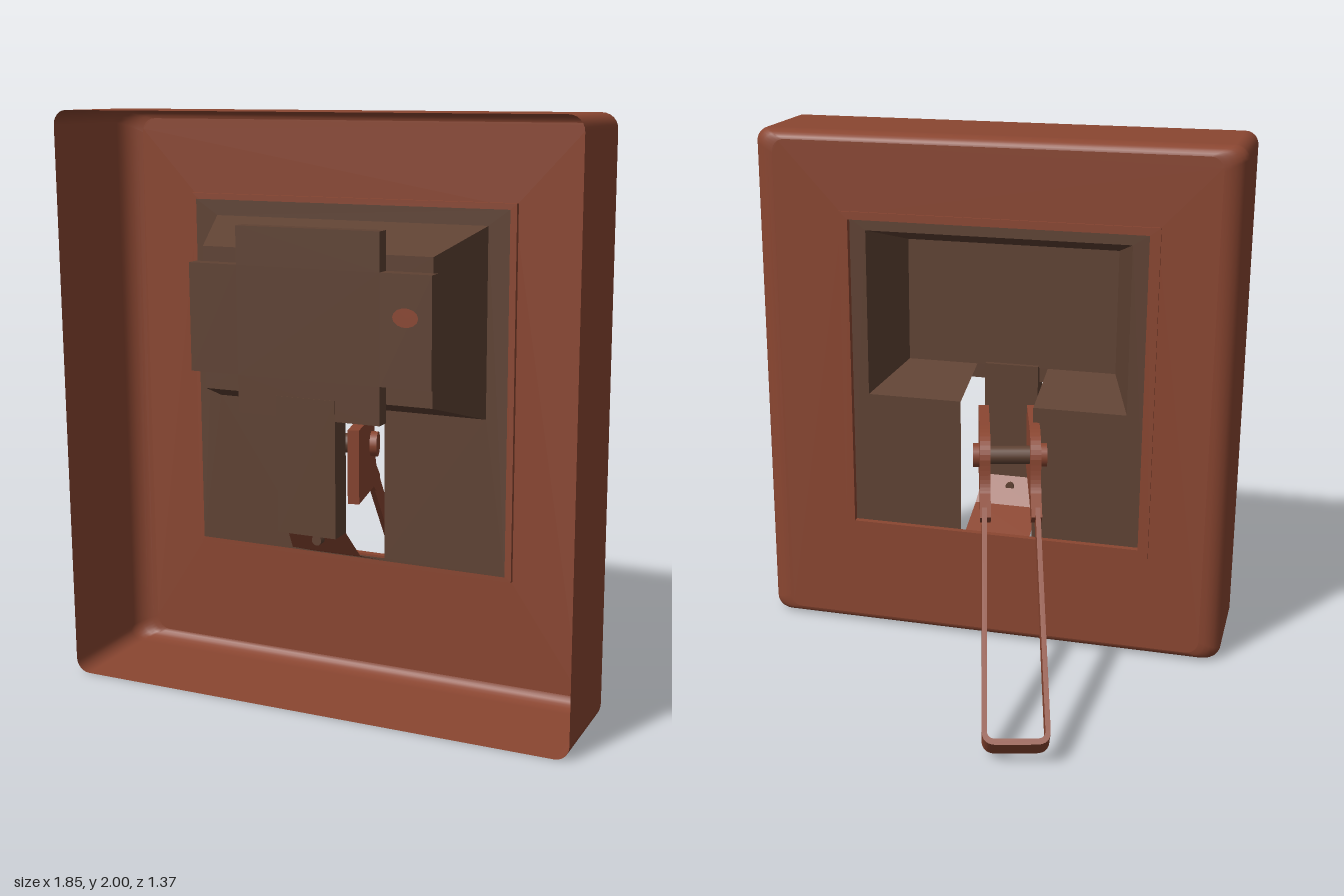
import * as THREE from 'three';

export function createModel() {
  const model = new THREE.Group();
  const red = new THREE.MeshStandardMaterial({ color: 0x8a4631, side: THREE.DoubleSide });
  red.name = 'rust red';
  const brown = new THREE.MeshStandardMaterial({ color: 0x5f4233, side: THREE.DoubleSide });
  brown.name = 'dark brown';

  const add = (name, geometry, material, parent = model) => {
    const mesh = new THREE.Mesh(geometry, material);
    mesh.name = name;
    parent.add(mesh);
    return mesh;
  };
  const box = (name, x0, x1, y0, y1, z0, z1, material) => {
    const g = new THREE.BoxGeometry(x1 - x0, y1 - y0, z1 - z0);
    g.translate((x0 + x1) / 2, (y0 + y1) / 2, (z0 + z1) / 2);
    return add(name, g, material);
  };
  const points = (list) => list.map(([x, y]) => new THREE.Vector2(x, y));
  const rect = (x0, x1, y0, y1) => points([[x0, y0], [x1, y0], [x1, y1], [x0, y1]]);
  const extrude = (shape, depth) => new THREE.ExtrudeGeometry(shape, { depth, bevelEnabled: false, curveSegments: 8 });
  const quads = (list) => {
    const pos = [];
    for (const [a, b, c, d] of list) pos.push(...a, ...b, ...c, ...a, ...c, ...d);
    const g = new THREE.BufferGeometry();
    g.setAttribute('position', new THREE.Float32BufferAttribute(pos, 3));
    g.computeVertexNormals();
    return g;
  };

  // Rounded rectangle outline, centred on y = 1
  const outline = (w, h, r) => {
    const pts = [];
    for (let c = 0; c < 4; c++) {
      const sx = c === 0 || c === 3 ? 1 : -1, sy = c < 2 ? 1 : -1;
      for (let i = 0; i <= 6; i++) {
        const a = (c + i / 6) * Math.PI / 2;
        pts.push(new THREE.Vector2(sx * (w - r) + r * Math.cos(a), 1 + sy * (h - r) + r * Math.sin(a)));
      }
    }
    return pts;
  };

  // Housing: open at the front, softly rounded into the back wall
  const W = 0.925, Z0 = 0.26;
  const loops = [{ z: 0.68, p: outline(W, 1, 0.05) }];
  for (let i = 0; i <= 6; i++) {
    const a = i / 6 * Math.PI / 2, k = 1 - Math.cos(a);
    loops.push({ z: Z0 + 0.07 * (1 - Math.sin(a)), p: outline(W - 0.08 * k, 1 - 0.035 * k, 0.05) });
  }
  const pos = [], index = [], n = loops[0].p.length;
  for (const { z, p } of loops) for (const v of p) pos.push(v.x, v.y, z);
  for (let j = 0; j < loops.length - 1; j++) {
    for (let i = 0; i < n; i++) {
      const a = j * n + i, b = j * n + (i + 1) % n;
      index.push(a, a + n, b, b, a + n, b + n);
    }
  }
  const skirt = new THREE.BufferGeometry();
  skirt.setAttribute('position', new THREE.Float32BufferAttribute(pos, 3));
  skirt.setIndex(index);
  skirt.computeVertexNormals();
  add('housingSides', skirt, red);
  const wall = new THREE.Shape(loops[loops.length - 1].p);
  wall.holes.push(new THREE.Path(rect(-0.62, 0.57, 0.43, 1.69)));
  const wallGeo = new THREE.ShapeGeometry(wall);
  wallGeo.translate(0, 0, Z0);
  add('housingBackWall', wallGeo, red);

  // Lip around the window
  const lip = new THREE.Shape(rect(-0.635, 0.585, 0.415, 1.705));
  lip.holes.push(new THREE.Path(rect(-0.595, 0.55, 0.45, 1.675)));
  const lipGeo = extrude(lip, 0.025);
  lipGeo.translate(0, 0, 0.252);
  add('windowLip', lipGeo, red);

  // Panel in the window, pierced by the recess and the lever slot
  const B = { x0: -0.53, x1: 0.49, y0: 0.98, y1: 1.63, z: 0.285 };
  const I = { x0: -0.44, x1: 0.4, y0: 1.06, y1: 1.55, z: 0.54 };
  const S0 = -0.17, S1 = 0.117;
  const panel = new THREE.Shape(rect(-0.615, 0.565, 0.435, 1.685));
  panel.holes.push(new THREE.Path(points([
    [S0, 0.445], [S1, 0.445], [S1, B.y0], [B.x1, B.y0],
    [B.x1, B.y1], [B.x0, B.y1], [B.x0, B.y0], [S0, B.y0],
  ])));
  const panelGeo = new THREE.ShapeGeometry(panel);
  panelGeo.translate(0, 0, B.z);
  add('panel', panelGeo, brown);

  // Tapered recess: four sloping sides, the lower one split by the slot
  const at = (r, x, y) => [x, y, r.z];
  add('recess', quads([
    [at(B, B.x0, B.y1), at(B, B.x1, B.y1), at(I, I.x1, I.y1), at(I, I.x0, I.y1)].reverse(),
    [at(B, B.x1, B.y0), at(B, B.x1, B.y1), at(I, I.x1, I.y1), at(I, I.x1, I.y0)],
    [at(B, B.x0, B.y0), at(B, B.x0, B.y1), at(I, I.x0, I.y1), at(I, I.x0, I.y0)].reverse(),
    [at(B, B.x0, B.y0), at(B, S0, B.y0), at(I, S0, I.y0), at(I, I.x0, I.y0)],
    [at(B, S1, B.y0), at(B, B.x1, B.y0), at(I, I.x1, I.y0), at(I, S1, I.y0)],
    [at(I, I.x0, I.y0), at(I, I.x1, I.y0), at(I, I.x1, I.y1), at(I, I.x0, I.y1)],
  ]), brown);

  // Cross-shaped mounting plate with a small mark
  const cross = new THREE.Shape(points([
    [-0.28, 1], [0.24, 1], [0.24, 1.13], [0.42, 1.13], [0.42, 1.5], [0.24, 1.5],
    [0.24, 1.63], [-0.28, 1.63], [-0.28, 1.5], [-0.46, 1.5], [-0.46, 1.13], [-0.28, 1.13],
  ]));
  const crossGeo = extrude(cross, 0.05);
  crossGeo.translate(0, 0, 0.55);
  add('mountingPlate', crossGeo, brown);
  const mark = add('plateMark', new THREE.CircleGeometry(0.045, 14), red);
  mark.scale.y = 0.7;
  mark.position.set(0.33, 1.36, 0.604);

  // Strip over the slot and the sloping guard below it
  box('slotStrip', -0.135, 0.08, 0.6, 1.07, 0.52, 0.602, brown);
  add('slotGuard', quads([
    [[-0.16, 0.44, 0.29], [0.1, 0.44, 0.29], [0.1, 0.5, 0.45], [-0.16, 0.5, 0.45]],
    [[-0.16, 0.5, 0.45], [0.1, 0.5, 0.45], [0.085, 0.6, 0.53], [-0.14, 0.6, 0.53]],
  ]), red);
  const screw = add('guardScrew', new THREE.CylinderGeometry(0.018, 0.018, 0.03, 12), brown);
  screw.rotation.x = Math.PI / 2;
  screw.position.set(-0.03, 0.56, 0.51);

  // Lever, swung to one side about its pivot
  const lever = new THREE.Group();
  lever.name = 'lever';
  lever.position.set(-0.105, 0, 0.18);
  lever.rotation.y = 0.27;
  model.add(lever);
  const profile = new THREE.Shape();
  profile.moveTo(0.27, 0.93);
  profile.lineTo(0.05, 0.92);
  profile.quadraticCurveTo(-0.07, 0.91, -0.085, 0.83);
  profile.quadraticCurveTo(-0.09, 0.74, -0.12, 0.71);
  profile.lineTo(-0.21, 0.65);
  profile.lineTo(-0.15, 0.605);
  profile.quadraticCurveTo(-0.11, 0.61, -0.06, 0.645);
  profile.lineTo(0.27, 0.67);
  for (const s of [-1, 1]) {
    const side = s < 0 ? 'right' : 'left';
    const armGeo = extrude(profile, 0.04);
    armGeo.translate(0, 0, -0.02);
    armGeo.rotateY(-Math.PI / 2);
    add(side + 'Arm', armGeo, red, lever).position.x = s * 0.095;
    const boss = add(side + 'PivotBoss', new THREE.CylinderGeometry(0.045, 0.045, 0.03, 20), red, lever);
    boss.rotation.z = Math.PI / 2;
    boss.position.set(s * 0.125, 0.82, 0);
  }
  const pin = add('pivotPin', new THREE.CylinderGeometry(0.035, 0.035, 0.17, 16), brown, lever);
  pin.rotation.z = Math.PI / 2;
  pin.position.y = 0.82;

  // U-shaped handle band running down and back
  const L = 0.91, a = 0.118, b = 0.1;
  const band = new THREE.Shape();
  band.moveTo(-0.108, 0);
  band.lineTo(-a, L - 0.05);
  band.quadraticCurveTo(-a, L, -a + 0.05, L);
  band.lineTo(a - 0.05, L);
  band.quadraticCurveTo(a, L, a, L - 0.05);
  band.lineTo(0.108, 0);
  band.lineTo(0.09, 0);
  band.lineTo(b, L - 0.05);
  band.quadraticCurveTo(b, L - 0.022, b - 0.03, L - 0.022);
  band.lineTo(-b + 0.03, L - 0.022);
  band.quadraticCurveTo(-b, L - 0.022, -b, L - 0.05);
  band.lineTo(-0.09, 0);
  const bandGeo = extrude(band, 0.09);
  bandGeo.translate(0, 0, -0.045);
  const handle = add('handle', bandGeo, red, lever);
  handle.rotation.x = Math.atan2(-0.575, -0.69) + Math.PI / 2 - Math.PI / 2;
  handle.rotation.x = Math.atan2(-0.69, -0.575);
  handle.position.set(0, 0.645, -0.155);

  return model;
}
